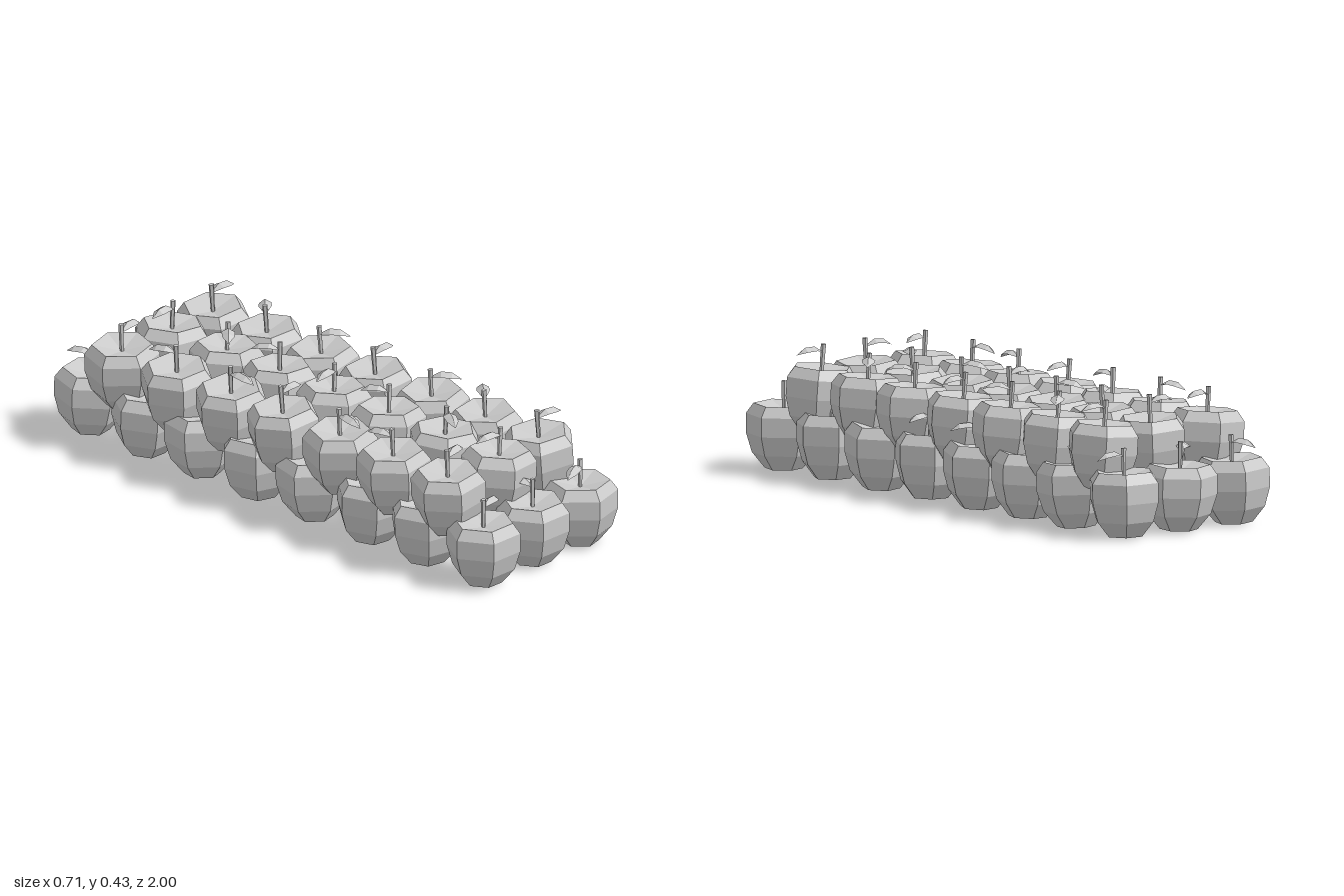
import * as THREE from 'three';

const DEG = Math.PI / 180;

// Small seeded generator, returns -1..1
function seeded(seed) {
  let s = seed;
  return () => {
    s = (s * 16807) % 2147483647;
    return (s / 2147483647) * 2 - 1;
  };
}

// Six-sided apple body with a dimple at the top and the bottom
function bodyGeometry() {
  const profile = [
    [0, 0.022], [0.062, 0.012], [0.104, 0.063], [0.123, 0.127],
    [0.123, 0.19], [0.098, 0.224], [0, 0.2],
  ].map(([r, y]) => new THREE.Vector2(r, y));
  return new THREE.LatheGeometry(profile, 6).rotateY(30 * DEG);
}

// Arched leaf running along +x, folded along its middle rib
function leafGeometry() {
  const sections = [ // x, rib height, half width, edge droop
    [0, 0, 0.005, 0.002], [0.035, 0.018, 0.022, 0.012],
    [0.07, 0.014, 0.02, 0.013], [0.1, -0.01, 0.001, 0],
  ];
  const position = [], index = [];
  for (const [x, y, w, d] of sections) position.push(x, y - d, -w, x, y, 0, x, y - d, w);
  for (let i = 0; i < sections.length - 1; i++) {
    for (let j = 0; j < 2; j++) {
      const a = i * 3 + j, b = a + 3;
      index.push(a, a + 1, b, a + 1, b + 1, b);
    }
  }
  const geometry = new THREE.BufferGeometry();
  geometry.setAttribute('position', new THREE.Float32BufferAttribute(position, 3));
  geometry.setIndex(index);
  geometry.computeVertexNormals();
  return geometry;
}

export function createModel() {
  const model = new THREE.Group();
  model.name = 'stackedApples';
  const skin = new THREE.MeshStandardMaterial({ color: 0xcccccc, flatShading: true });
  const leafSkin = skin.clone();
  leafSkin.side = THREE.DoubleSide;

  const body = bodyGeometry();
  const stem = new THREE.CylinderGeometry(0.009, 0.007, 0.098, 5).translate(0, 0.249, 0);
  const leaf = leafGeometry();

  // One apple: tilt leans it, yaw turns the body, leafYaw points the leaf
  function apple(name, [x, y, z], [tiltX, tiltZ], yaw, leafYaw) {
    const group = new THREE.Group();
    group.name = name;
    const add = (geometry, material, part, turn, height = 0) => {
      const mesh = new THREE.Mesh(geometry, material);
      mesh.name = part;
      mesh.rotation.y = turn * DEG;
      mesh.position.y = height;
      group.add(mesh);
    };
    add(body, skin, 'body', yaw);
    add(stem, skin, 'stem', yaw);
    add(leaf, leafSkin, 'leaf', leafYaw, 0.272);
    group.position.set(x, y, z);
    group.rotation.set(tiltX * DEG, 0, tiltZ * DEG);
    model.add(group);
  }

  // Lower layer: eight rows of three
  const random = seeded(4217);
  const lowerX = [-0.23, 0, 0.222];
  const frontYaw = [0, 0, 15], backYaw = [12, 25, -5];
  const frontLeaf = [15, 90, 200];
  for (let row = 0; row < 8; row++) {
    for (let col = 0; col < 3; col++) {
      let yaw = random() * 20;
      let leafYaw = random() * 180;
      const tilt = [random() * 3, random() * 2];
      if (row === 0) {
        yaw = frontYaw[col];
        leafYaw = frontLeaf[col];
        tilt[0] = 0;
        tilt[1] = 0;
      }
      if (row === 7) yaw = backYaw[col];
      const position = [lowerX[col], 0, 0.886 - row * 0.2515];
      apple('lowerApple', position, tilt, yaw, leafYaw);
    }
  }

  // Upper layer: seven rows of three, resting in the gaps
  const upperX = [-0.228, -0.012, 0.204];
  const upperTilt = [4, -3, 4];
  const acrossLeaf = [10, 180, 0], alongLeaf = [100, 235, 55];
  for (let row = 0; row < 7; row++) {
    for (let col = 0; col < 3; col++) {
      const across = row % 3 === 0;
      const side = row % 2 ? 1 : -1;
      const leafYaw = across ? acrossLeaf[col] : alongLeaf[col] * side;
      const position = [upperX[col], 0.137, 0.735 - row * 0.2435];
      const tilt = [random() * 2, upperTilt[col]];
      apple('upperApple', position, tilt, random() * 14, leafYaw + random() * 12);
    }
  }
  return model;
}
